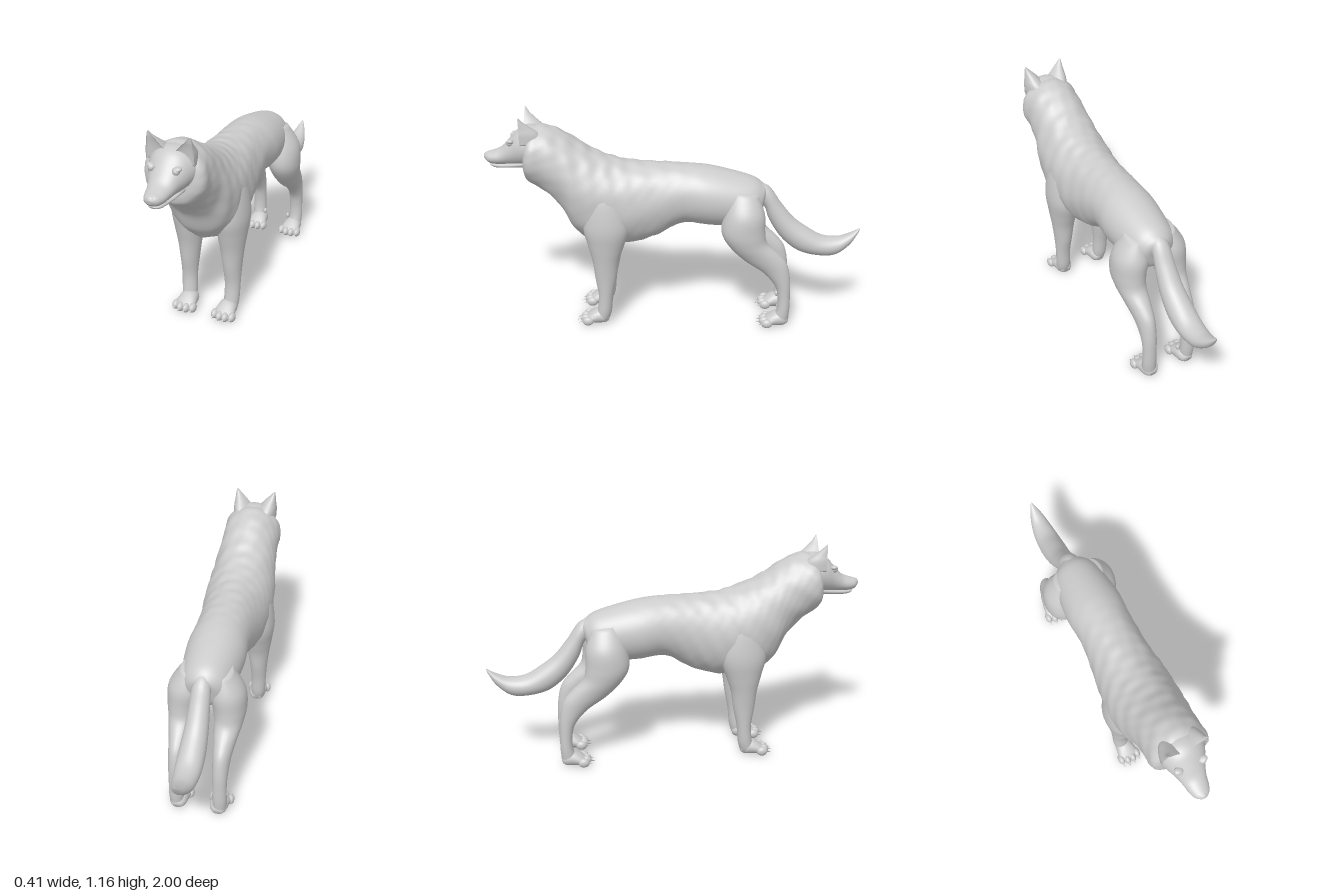
import * as THREE from 'three';

const material = new THREE.MeshStandardMaterial({ color: 0xcccccc, side: THREE.DoubleSide });

// Smooth interpolation through a list of stations
function sampleStations(stations, steps) {
  const out = [], last = stations.length - 1;
  const at = (i) => stations[Math.min(last, Math.max(0, i))];
  for (let i = 0; i < last; i++) {
    for (let s = 0; s < steps; s++) {
      const t = s / steps, t2 = t * t, t3 = t2 * t;
      out.push(at(i).map((b, k) => {
        const a = at(i - 1)[k], c = at(i + 1)[k], d = at(i + 2)[k];
        return 0.5 * (2 * b + (c - a) * t + (2 * a - 5 * b + 4 * c - d) * t2 + (3 * b - a - 3 * c + d) * t3);
      }));
    }
  }
  out.push(stations[last]);
  return out;
}

// Loft of oval rings. Station: [zA, yA, zB, yB, half width, x]; A and B are
// opposite points of the outline. frontScale flattens or hollows the A side.
function loft(name, stations, { sides = 28, steps = 5, side = 1, frontScale = 1, bump = null } = {}) {
  const rings = sampleStations(stations.map((s) => [...s.slice(0, 5), s[5] ?? 0]), steps);
  const pos = [], index = [];
  for (const [zA, yA, zB, yB, w, x] of rings) {
    const cy = (yA + yB) / 2, cz = (zA + zB) / 2;
    for (let j = 0; j < sides; j++) {
      const a = (j / sides) * Math.PI * 2;
      const c = Math.cos(a) * (Math.cos(a) > 0 ? frontScale : 1);
      const k = 1 + (bump ? bump(a, cz, cy) : 0);
      pos.push(side * (x + w * Math.sin(a) * k), cy + ((yA - yB) / 2) * c * k, cz + ((zA - zB) / 2) * c * k);
    }
  }
  const n = rings.length;
  for (const [zA, yA, zB, yB, , x] of [rings[0], rings[n - 1]]) {
    const f = (frontScale - 1) / 4;
    pos.push(side * x, (yA + yB) / 2 + (yA - yB) * f, (zA + zB) / 2 + (zA - zB) * f);
  }
  for (let j = 0; j < sides; j++) {
    const k = (j + 1) % sides;
    for (let i = 0; i < n - 1; i++) {
      const a = i * sides + j, b = i * sides + k;
      index.push(a, b, a + sides, b, b + sides, a + sides);
    }
    index.push(n * sides, k, j, n * sides + 1, (n - 1) * sides + j, (n - 1) * sides + k);
  }
  // Turn the faces outward when the enclosed volume is negative
  const p = (i) => new THREE.Vector3().fromArray(pos, i * 3);
  let volume = 0;
  for (let i = 0; i < index.length; i += 3) volume += p(index[i]).dot(p(index[i + 1]).cross(p(index[i + 2])));
  if (volume < 0) index.reverse();
  const geometry = new THREE.BufferGeometry();
  geometry.setAttribute('position', new THREE.Float32BufferAttribute(pos, 3));
  geometry.setIndex(index);
  geometry.computeVertexNormals();
  const mesh = new THREE.Mesh(geometry, material);
  mesh.name = name;
  return mesh;
}

function ellipsoid(name, x, y, z, rx, ry, rz) {
  const mesh = new THREE.Mesh(new THREE.SphereGeometry(1, 16, 12), material);
  mesh.name = name;
  mesh.position.set(x, y, z);
  mesh.scale.set(rx, ry, rz);
  return mesh;
}

// Paw with toes and claws, heel at z
function paw(name, x, z, side) {
  const group = new THREE.Group();
  group.name = name;
  group.add(loft('pawPad', [
    [z, 0.05, z + 0.01, 0.015, 0.025, x], [z + 0.03, 0.085, z + 0.03, 0.004, 0.044, x],
    [z + 0.07, 0.085, z + 0.07, 0.003, 0.05, x], [z + 0.11, 0.062, z + 0.11, 0.004, 0.054, x],
    [z + 0.14, 0.04, z + 0.14, 0.01, 0.04, x],
  ], { side, sides: 20, steps: 3 }));
  for (let i = 0; i < 4; i++) {
    const u = i - 1.5, tx = side * (x + u * 0.032), tz = z + 0.137 - Math.abs(u) * 0.012;
    group.add(ellipsoid('toe', tx, 0.028, tz, 0.019, 0.025, 0.03));
    const claw = new THREE.Mesh(new THREE.ConeGeometry(0.008, 0.036, 8), material);
    claw.name = 'claw';
    claw.position.set(tx, 0.026, tz + 0.033);
    claw.rotation.x = Math.PI / 2 + 0.35;
    group.add(claw);
  }
  return group;
}

// Shaggy coat, strongest over the chest and back
function fur(a, z, y) {
  const fade = THREE.MathUtils.smoothstep(z, -0.35, 0.25);
  return fade * (0.016 * Math.sin(5 * a + 24 * z) * Math.sin(38 * z + 3 * Math.cos(a))
    + 0.011 * Math.sin(9 * a - 31 * z) * Math.cos(55 * z + 4 * Math.sin(2 * a)));
}

export function createModel() {
  const model = new THREE.Group();
  model.name = 'wolf';

  // Trunk, neck and ruff
  model.add(loft('body', [
    [-0.50, 0.76, -0.47, 0.68, 0.03], [-0.47, 0.79, -0.45, 0.60, 0.09], [-0.40, 0.83, -0.38, 0.56, 0.13],
    [-0.20, 0.88, -0.20, 0.56, 0.155], [-0.05, 0.895, -0.05, 0.57, 0.148], [0.10, 0.90, 0.10, 0.49, 0.16],
    [0.25, 0.91, 0.25, 0.45, 0.18], [0.38, 0.95, 0.42, 0.455, 0.186], [0.48, 1.0, 0.53, 0.53, 0.178],
    [0.56, 1.05, 0.60, 0.66, 0.163], [0.64, 1.09, 0.69, 0.75, 0.157], [0.71, 1.10, 0.765, 0.80, 0.157],
    [0.75, 1.08, 0.785, 0.84, 0.135], [0.77, 1.03, 0.785, 0.89, 0.09],
  ], { sides: 56, steps: 10, bump: fur }));

  // Head, muzzle and lower jaw
  model.add(loft('head', [
    [0.64, 1.08, 0.68, 0.90, 0.11], [0.74, 1.10, 0.76, 0.89, 0.12], [0.80, 1.085, 0.80, 0.885, 0.105],
    [0.85, 1.037, 0.85, 0.885, 0.08], [0.90, 0.982, 0.90, 0.885, 0.062], [0.945, 0.96, 0.94, 0.886, 0.053],
    [0.98, 0.95, 0.975, 0.893, 0.038], [1.0, 0.935, 0.995, 0.912, 0.014],
  ], { sides: 36, steps: 6 }));
  model.add(loft('lowerJaw', [
    [0.74, 0.95, 0.74, 0.87, 0.08], [0.82, 0.92, 0.82, 0.872, 0.068], [0.88, 0.905, 0.88, 0.868, 0.052],
    [0.93, 0.9, 0.93, 0.866, 0.04], [0.96, 0.893, 0.957, 0.872, 0.026], [0.972, 0.888, 0.968, 0.88, 0.01],
  ]));
  model.add(ellipsoid('nose', 0, 0.932, 0.978, 0.024, 0.018, 0.021));

  // Tail, drooping and curling up at the tip
  model.add(loft('tail', [
    [-0.40, 0.81, -0.40, 0.70, 0.04], [-0.50, 0.775, -0.475, 0.67, 0.048], [-0.57, 0.68, -0.51, 0.585, 0.054],
    [-0.64, 0.595, -0.575, 0.485, 0.062], [-0.72, 0.535, -0.665, 0.41, 0.068], [-0.80, 0.49, -0.77, 0.382, 0.066],
    [-0.88, 0.485, -0.87, 0.385, 0.055], [-0.94, 0.505, -0.945, 0.44, 0.036], [-0.985, 0.53, -0.985, 0.50, 0.014],
    [-0.999, 0.54, -0.999, 0.533, 0.003],
  ]));

  for (const side of [1, -1]) {
    const s = side > 0 ? 'left' : 'right';

    // Eye with heavy lid
    model.add(ellipsoid(s + 'Eye', side * 0.062, 1.02, 0.848, 0.018, 0.018, 0.018));
    const lid = ellipsoid(s + 'Eyelid', side * 0.064, 1.027, 0.843, 0.024, 0.013, 0.02);
    lid.rotation.z = side * 0.25;
    model.add(lid);

    // Pointed ear, hollow at the front
    model.add(loft(s + 'Ear', [
      [0.90, 1.02, 0.67, 1.03, 0.056, 0.066], [0.885, 1.075, 0.69, 1.075, 0.05, 0.072],
      [0.845, 1.11, 0.73, 1.11, 0.034, 0.083], [0.815, 1.14, 0.765, 1.14, 0.018, 0.096],
      [0.795, 1.167, 0.785, 1.167, 0.003, 0.106],
    ], { side, frontScale: -0.15 }));

    // Foreleg from shoulder to wrist
    model.add(loft(s + 'FrontLeg', [
      [0.42, 0.82, 0.29, 0.80, 0.03, 0.125], [0.46, 0.72, 0.25, 0.72, 0.065, 0.122], [0.475, 0.58, 0.23, 0.58, 0.08, 0.126],
      [0.455, 0.48, 0.265, 0.46, 0.074, 0.121], [0.432, 0.38, 0.29, 0.38, 0.062, 0.12], [0.42, 0.28, 0.305, 0.28, 0.05, 0.121],
      [0.405, 0.18, 0.325, 0.18, 0.042, 0.123], [0.41, 0.10, 0.335, 0.08, 0.041, 0.121], [0.42, 0.05, 0.35, 0.03, 0.038, 0.118],
    ], { side }));
    model.add(paw(s + 'FrontPaw', 0.112, 0.345, side));

    // Hind leg from hip over the hock
    model.add(loft(s + 'HindLeg', [
      [-0.31, 0.78, -0.44, 0.76, 0.04, 0.09], [-0.27, 0.67, -0.48, 0.66, 0.09, 0.105], [-0.255, 0.56, -0.485, 0.56, 0.088, 0.118],
      [-0.30, 0.475, -0.50, 0.495, 0.076, 0.12], [-0.38, 0.395, -0.56, 0.435, 0.06, 0.117],
      [-0.48, 0.325, -0.607, 0.375, 0.047, 0.116], [-0.545, 0.25, -0.628, 0.28, 0.04, 0.116],
      [-0.565, 0.18, -0.632, 0.18, 0.037, 0.116], [-0.565, 0.11, -0.632, 0.10, 0.038, 0.116], [-0.55, 0.06, -0.625, 0.03, 0.037, 0.114],
    ], { side }));
    model.add(paw(s + 'HindPaw', 0.108, -0.63, side));
    model.add(ellipsoid(s + 'Dewclaw', side * 0.073, 0.095, -0.575, 0.01, 0.016, 0.012));
  }
  return model;
}
